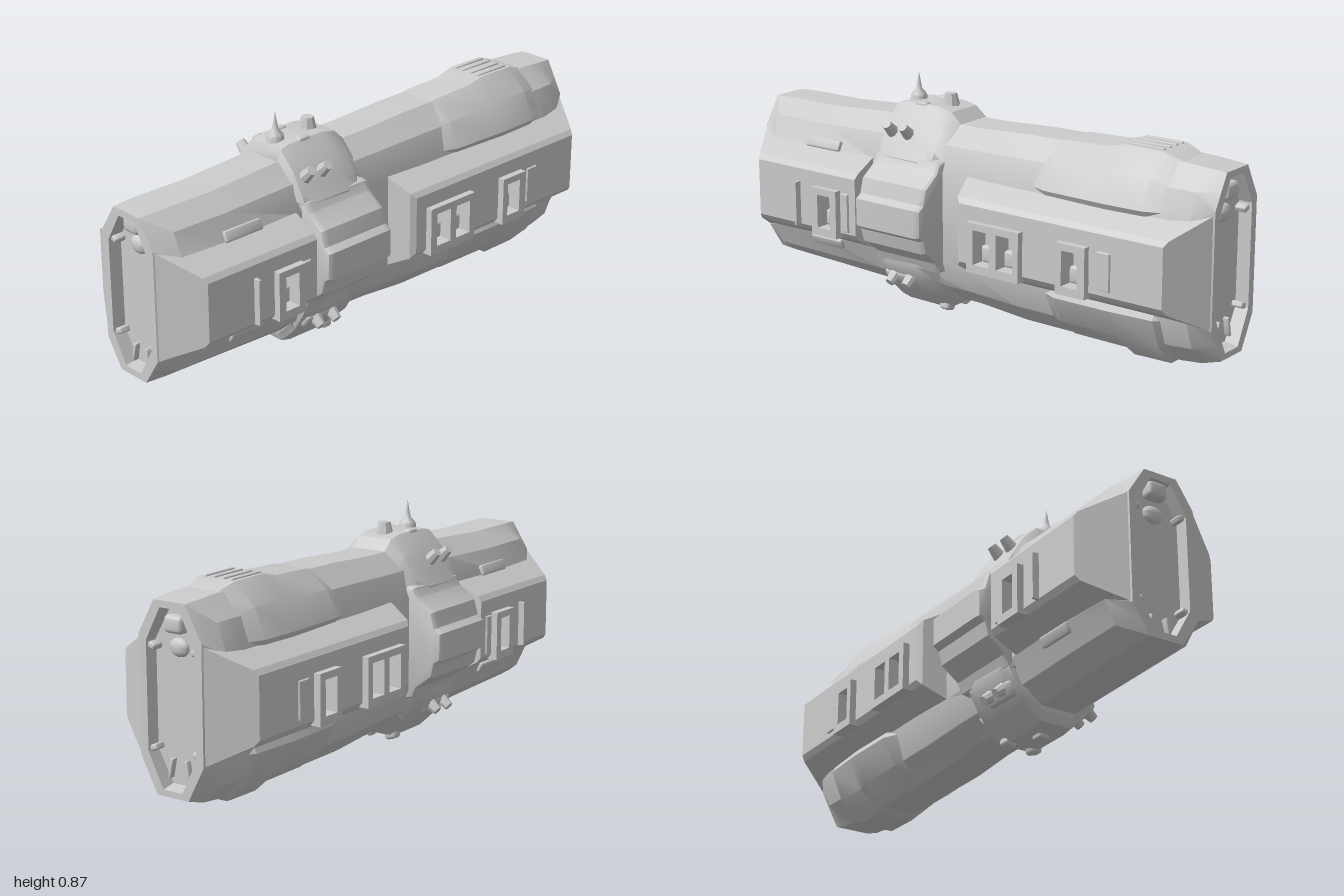
import * as THREE from 'three';
import { toCreasedNormals } from 'three/addons/utils/BufferGeometryUtils.js';
import { RoundedBoxGeometry } from 'three/addons/geometries/RoundedBoxGeometry.js';

const material = new THREE.MeshStandardMaterial({ color: 0xcccccc });

// Skin a list of equal-length rings, with optional flat caps
function loft(rings, startCap = true, endCap = true) {
  const n = rings[0].length, index = [];
  const last = (rings.length - 1) * n;
  for (let i = 0; i < rings.length - 1; i++) {
    for (let j = 0; j < n; j++) {
      const a = i * n + j, b = i * n + (j + 1) % n;
      index.push(a, b, b + n, a, b + n, a + n);
    }
  }
  for (let j = 1; j < n - 1; j++) {
    if (startCap) index.push(0, j + 1, j);
    if (endCap) index.push(last, last + j, last + j + 1);
  }
  const g = new THREE.BufferGeometry();
  g.setAttribute('position', new THREE.Float32BufferAttribute(rings.flat(2), 3));
  g.setIndex(index);
  return g;
}

// Symmetric cross-section at x from a half profile of [z, y]
const section = (x, half) => [
  ...half.map(([z, y]) => [x, y, z]),
  ...[...half].reverse().map(([z, y]) => [x, y, -z]),
];

// Faceted hull section: flat top and bottom of half-width a, waist of half-width w
const hullRing = (x, top, bot, w, a = 0.07, hi = 0.565, lo = 0.23, bulge = 0.016) => section(x, [
  [a, top], [(a + w) / 2 + bulge, (top + hi) / 2 + bulge], [w, hi],
  [w, lo], [(a + w) / 2 + bulge, (bot + lo) / 2 - bulge], [a, bot],
]);

const rectRing = (x0, x1, y0, y1, z) => [[x0, y0, z], [x1, y0, z], [x1, y1, z], [x0, y1, z]];

const rectPath = (x0, x1, y0, y1, Type = THREE.Path) => new Type(
  [[x0, y0], [x1, y0], [x1, y1], [x0, y1]].map(([x, y]) => new THREE.Vector2(x, y)));

// Tapered block standing out along z
const frustum = (x0, x1, y0, y1, z0, z1, inset) => loft([
  rectRing(x0, x1, y0, y1, z0), rectRing(x0 + inset, x1 - inset, y0 + inset, y1 - inset, z1)]);

const box = (w, h, d, x, y, z, rx = 0) =>
  new RoundedBoxGeometry(w, h, d, 2, Math.min(w, h, d) * 0.3).rotateX(rx).translate(x, y, z);

// Copy reflected in z, with the winding restored
function mirrorZ(geometry) {
  const g = geometry.clone();
  for (const key of ['position', 'normal']) {
    const at = g.attributes[key];
    for (let i = 0; i < at.count; i += 3) {
      const p = [0, 2, 1].map(k => [at.getX(i + k), at.getY(i + k), -at.getZ(i + k)]);
      p.forEach((v, k) => at.setXYZ(i + k, ...v));
    }
  }
  return g;
}

export function createModel() {
  const model = new THREE.Group();
  model.name = 'spaceStation';
  const add = (name, geometry, crease = 0.5) => {
    const mesh = new THREE.Mesh(toCreasedNormals(geometry, crease), material);
    mesh.name = name;
    model.add(mesh);
    return mesh;
  };
  const addPair = (name, geometry, crease) => {
    const mesh = add(name + 'Front', geometry, crease);
    const back = new THREE.Mesh(mirrorZ(mesh.geometry), material);
    back.name = name + 'Back';
    model.add(back);
  };

  // Main hull with a recessed bay in each end
  add('hull', loft([
    hullRing(-0.95, 0.665, 0.13, 0.1, 0.04, 0.57, 0.23, 0),
    hullRing(-1, 0.675, 0.125, 0.1, 0.04, 0.57, 0.23, 0),
    hullRing(-1, 0.70, 0.10, 0.13, 0.065, 0.6, 0.2, 0),
    hullRing(-0.92, 0.703, 0.097, 0.18), hullRing(-0.7, 0.703, 0.09, 0.185),
    hullRing(-0.42, 0.72, 0.08, 0.18), hullRing(0, 0.722, 0.07, 0.18),
    hullRing(0.2, 0.732, 0.053, 0.185), hullRing(0.55, 0.738, 0.05, 0.185),
    hullRing(0.85, 0.738, 0.05, 0.185), hullRing(0.93, 0.733, 0.058, 0.175),
    hullRing(1, 0.728, 0.078, 0.13, 0.065, 0.61, 0.2, 0),
    hullRing(1, 0.705, 0.10, 0.1, 0.04, 0.59, 0.22, 0),
    hullRing(0.95, 0.695, 0.11, 0.1, 0.04, 0.59, 0.22, 0),
  ]), 0.4);

  // Bay fittings: corner clamps, domes and floor rails
  for (const s of [-1, 1]) {
    const x = s * 0.965;
    for (const y of [0.23, 0.57]) addPair('bayClamp', box(0.05, 0.022, 0.03, x, y, 0.09, y > 0.4 ? -0.4 : 0.4));
    add('bayDome', new THREE.SphereGeometry(0.04, 16, 10).scale(0.5, 0.8, 1).translate(s * 0.95, 0.57, 0), 1);
    add('bayHood', box(0.05, 0.06, 0.075, x, 0.65, 0));
    addPair('bayRail', box(0.03, 0.07, 0.012, s * 0.955, 0.165, 0.035, -0.2));
  }

  // Swollen upper cowl and lower keel near the long end
  const cowlRing = (x, top, w, a) => section(x, [
    [a, top], [(a + w) / 2 + 0.018, (top + 0.57) / 2 + 0.02], [w, 0.585], [w - 0.02, 0.55]]);
  add('upperCowl', loft([
    cowlRing(0.3, 0.72, 0.175, 0.06), cowlRing(0.36, 0.738, 0.196, 0.07), cowlRing(0.54, 0.745, 0.202, 0.07),
    cowlRing(0.61, 0.763, 0.204, 0.075), cowlRing(0.76, 0.762, 0.2, 0.075), cowlRing(0.84, 0.735, 0.17, 0.06),
  ]));
  const keelRing = (x, bot, w, a) => section(x, [
    [w - 0.02, 0.26], [w, 0.215], [(a + w) / 2 + 0.018, (bot + 0.22) / 2 - 0.018], [a, bot]]);
  add('lowerKeel', loft([
    keelRing(0.36, 0.06, 0.18, 0.06), keelRing(0.41, 0.048, 0.204, 0.07), keelRing(0.63, 0.046, 0.206, 0.07),
    keelRing(0.66, 0.028, 0.204, 0.07), keelRing(0.81, 0.03, 0.196, 0.07), keelRing(0.84, 0.06, 0.17, 0.06),
  ]));
  for (const z of [0.02, 0.055]) addPair('cowlRib', box(0.15, 0.012, 0.014, 0.68, 0.762, z));
  addPair('hullPanel', box(0.16, 0.04, 0.02, -0.66, 0.585, 0.178, -0.45));
  addPair('lowerPanel', box(0.15, 0.04, 0.02, -0.65, 0.212, 0.178, 0.45));

  // Side pods with windows: [x0, x1, y0, y1] base, mid and face, then window groups
  const pods = [
    {
      base: [-1, -0.42, 0.2, 0.6], mid: [-0.91, -0.42, 0.275, 0.525], face: [-0.9, -0.422, 0.295, 0.507],
      frames: [{ x0: -0.615, x1: -0.495, holes: [[-0.585, -0.525]] }],
    },
    {
      base: [0, 1, 0.2, 0.6], mid: [0.042, 0.91, 0.275, 0.525], face: [0.06, 0.9, 0.295, 0.507],
      frames: [
        { x0: 0.11, x1: 0.335, holes: [[0.14, 0.21], [0.24, 0.31]] },
        { x0: 0.49, x1: 0.61, holes: [[0.515, 0.58]] },
      ],
    },
  ];
  for (const { base, mid, face, frames } of pods) {
    addPair('pod', loft([rectRing(...base, 0.125), rectRing(...mid, 0.265), rectRing(...face, 0.28)], true, false), 0.3);
    const wall = rectPath(...face, THREE.Shape);
    for (const { x0, x1, holes } of frames) {
      const rim = rectPath(x0, x1, 0.275, 0.455, THREE.Shape);
      for (const [a, b] of holes) {
        wall.holes.push(rectPath(a, b, 0.305, 0.43));
        rim.holes.push(rectPath(a, b, 0.305, 0.43));
      }
      addPair('windowFrame', new THREE.ExtrudeGeometry(rim, { depth: 0.075, bevelEnabled: false }).translate(0, 0, 0.23));
      addPair('windowPane', new THREE.PlaneGeometry(x1 - x0, 0.18).translate((x0 + x1) / 2, 0.365, 0.232));
      // Sill blocks under each window
      for (const [a, b] of holes) addPair('windowSill', box(b - a, 0.06, 0.03, (a + b) / 2, 0.335, 0.245));
    }
    addPair('podFace', new THREE.ShapeGeometry(wall).translate(0, 0, 0.28));
  }
  addPair('podRib', frustum(-0.705, -0.69, 0.29, 0.46, 0.27, 0.303, 0.003));
  addPair('podPlateShort', frustum(-0.49, -0.45, 0.3, 0.45, 0.275, 0.287, 0.006));
  addPair('podPlateLong', frustum(0.64, 0.7, 0.31, 0.45, 0.275, 0.286, 0.006));

  // Collar band around the hull
  const collarRing = (x, d) => section(x, [
    [0.07, 0.772 - d], [0.128, 0.715 - d], [0.17, 0.645 - d], [0.202 - d, 0.595],
    [0.202 - d, 0.2], [0.175 - d, 0.14 + d], [0.125, 0.08 + d], [0.06, 0.018 + d]]);
  add('collar', loft([
    collarRing(-0.405, 0.045), collarRing(-0.39, 0.012), collarRing(-0.35, 0.002),
    collarRing(-0.2, 0), collarRing(-0.14, 0.012), collarRing(-0.1, 0.05),
  ]));

  // Stepped drums on the collar sides
  const drum = new THREE.Shape([
    [0.14, 0.6], [0.185, 0.59], [0.2, 0.56], [0.262, 0.515], [0.278, 0.46], [0.3, 0.445],
    [0.3, 0.36], [0.278, 0.345], [0.265, 0.295], [0.2, 0.245], [0.185, 0.21], [0.14, 0.2],
  ].reverse().map(([z, y]) => new THREE.Vector2(-z, y)));
  addPair('collarDrum', new THREE.ExtrudeGeometry(drum, {
    depth: 0.25, bevelSize: 0.015, bevelThickness: 0.025, bevelSegments: 3, curveSegments: 1,
  }).rotateY(Math.PI / 2).translate(-0.37, 0, 0));

  // Paired turrets above and below the drums
  const turret = (x, y, z, tilt) => new THREE.CylinderGeometry(0.017, 0.028, 0.075, 8).rotateX(tilt).translate(x, y, z);
  for (const x of [-0.35, -0.275]) {
    addPair('upperTurret', turret(x, 0.68, 0.155, 0.8));
    addPair('lowerTurret', turret(x + 0.02, 0.14, 0.172, 2.2));
  }
  addPair('turretBase', box(0.15, 0.06, 0.05, -0.3, 0.14, 0.15, 0.5));

  // Mast, roof block and belly nubs
  add('mast', new THREE.LatheGeometry([[0.034, 0.755], [0.03, 0.785], [0.012, 0.805], [0.007, 0.83], [0, 0.87]]
    .map(p => new THREE.Vector2(...p)), 10).translate(-0.35, 0, 0), 0.8);
  add('roofBlock', new THREE.CylinderGeometry(0.022, 0.036, 0.06, 8).translate(-0.2, 0.78, 0));
  addPair('roofStud', box(0.05, 0.025, 0.03, -0.28, 0.765, 0.06));
  add('bellyNub', box(0.05, 0.04, 0.045, -0.3, 0.024, 0));
  addPair('bellyFoot', box(0.045, 0.05, 0.05, -0.18, 0.03, 0.05, -0.3));

  return model;
}
